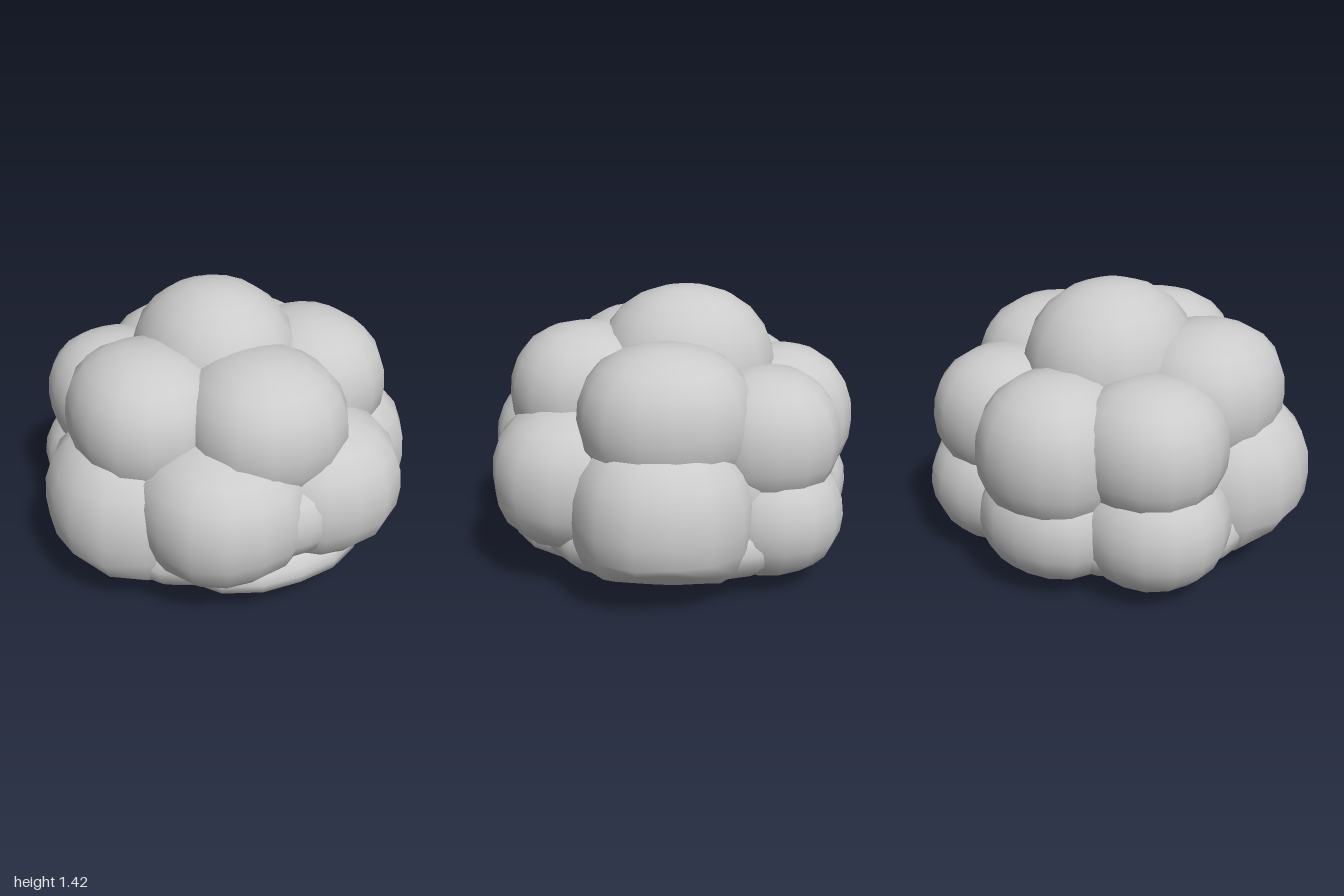
import * as THREE from 'three';
import { mergeVertices } from 'three/addons/utils/BufferGeometryUtils.js';

const material = new THREE.MeshStandardMaterial({ color: 0xcccccc });

// Shallow bowl, steeper at the sides, that trims the underside of every lobe
const underside = (x, z) => 0.15 * x * x + 0.18 * x ** 6 + 0.2 * (z + 0.1) ** 2;

// Rounded, slightly boxy lobe; a higher power p gives squarer sides
function lobe(name, [cx, cy, cz], [rx, ry, rz], p = 2.3) {
  let geometry = new THREE.SphereGeometry(1, 16, 12);
  geometry.deleteAttribute('uv');
  geometry.deleteAttribute('normal');
  geometry = mergeVertices(geometry, 1e-4);
  const pos = geometry.attributes.position;
  const v = new THREE.Vector3();
  for (let i = 0; i < pos.count; i++) {
    v.fromBufferAttribute(pos, i);
    const sum = Math.abs(v.x) ** p + Math.abs(v.y) ** p + Math.abs(v.z) ** p;
    v.multiplyScalar(sum ** (-1 / p));
    const x = cx + v.x * rx;
    const z = cz + v.z * rz;
    pos.setXYZ(i, x, Math.max(cy + v.y * ry, underside(x, z)), z);
  }
  geometry.computeVertexNormals();
  const mesh = new THREE.Mesh(geometry, material);
  mesh.name = name;
  return mesh;
}

export function createModel() {
  const group = new THREE.Group();
  group.name = 'bush';

  // Core, base and lobes on the centre line
  group.add(
    lobe('core', [0, 0.52, -0.02], [0.79, 0.46, 0.73], 2.4),
    lobe('base', [0, 0.28, 0], [0.86, 0.28, 0.8], 2.3),
    lobe('topLobe', [0, 0.98, -0.06], [0.43, 0.44, 0.47], 2.15),
    lobe('frontUpperLobe', [0, 0.88, 0.44], [0.41, 0.36, 0.41]),
    lobe('frontMiddleLobe', [0, 0.52, 0.45], [0.5, 0.26, 0.47], 2.6),
    lobe('frontBaseLobe', [0, 0.23, 0.45], [0.52, 0.17, 0.42], 2.4),
    lobe('backUpperLobe', [0, 0.71, -0.56], [0.38, 0.38, 0.39]),
    lobe('backLowerLobe', [0, 0.36, -0.59], [0.38, 0.3, 0.34]),
  );

  // Mirrored lobes down each side
  for (const [side, s] of [['left', 1], ['right', -1]]) {
    group.add(
      lobe(side + 'FrontLobe', [s * 0.26, 0.54, 0.48], [0.43, 0.37, 0.47], 2.4),
      lobe(side + 'UpperLobe', [s * 0.46, 0.87, 0.1], [0.39, 0.36, 0.43]),
      lobe(side + 'LowerLobe', [s * 0.5, 0.44, 0.13], [0.5, 0.43, 0.46], 2.4),
      lobe(side + 'BackUpperLobe', [s * 0.42, 0.75, -0.39], [0.37, 0.34, 0.37]),
      lobe(side + 'BackLowerLobe', [s * 0.45, 0.37, -0.42], [0.39, 0.34, 0.37], 2.1),
    );
  }
  return group;
}
